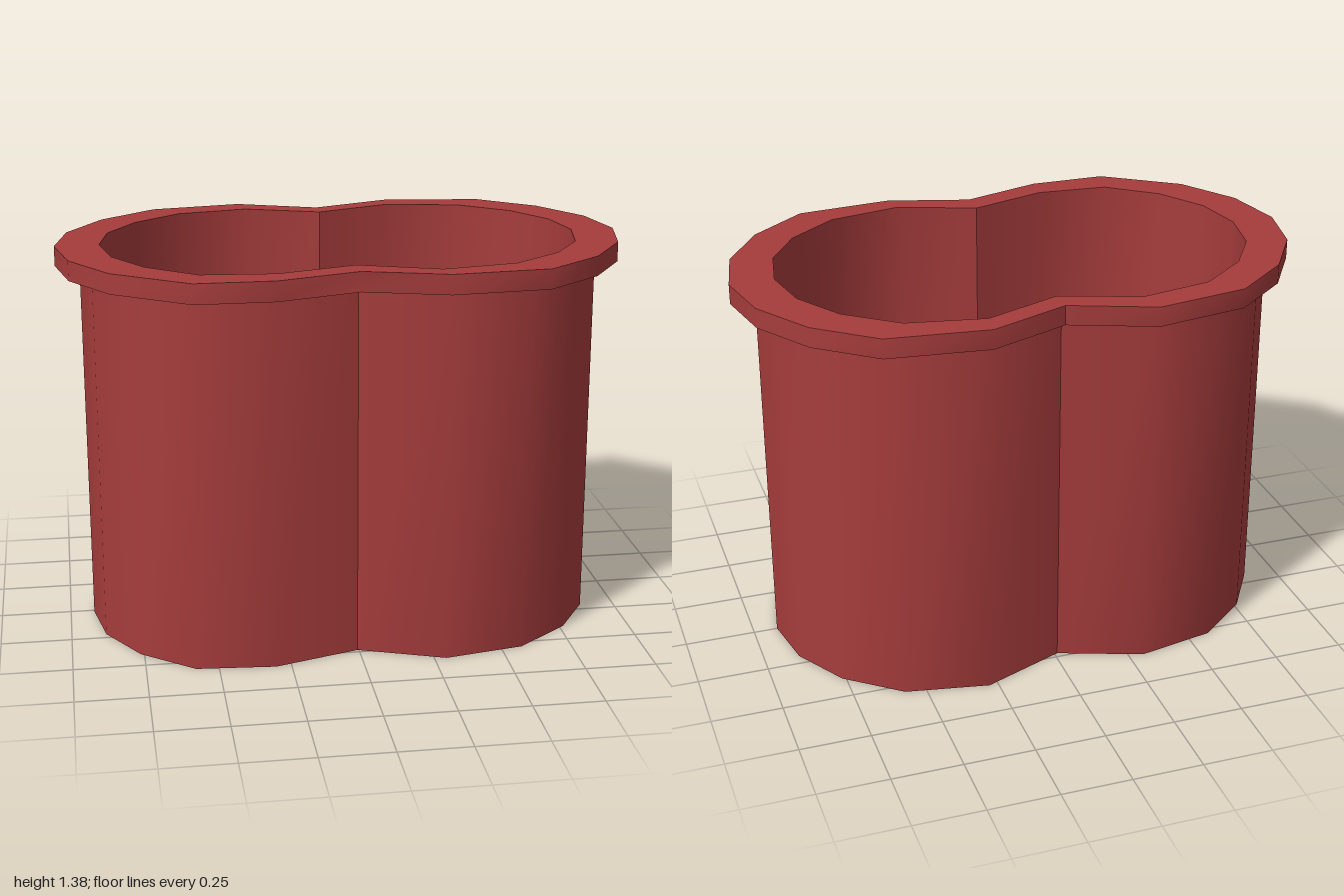
import * as THREE from 'three';
import { toCreasedNormals } from 'three/addons/utils/BufferGeometryUtils.js';

// Two-lobed outlines as x, z pairs, running from the right end round the back
const RIM = [
  -1, 0.01, -0.955, -0.21, -0.825, -0.415, -0.625, -0.575, -0.3, -0.63,
  -0.01, -0.52, 0.27, -0.63, 0.625, -0.59, 0.825, -0.43, 0.955, -0.225,
  1, 0, 0.955, 0.225, 0.825, 0.43, 0.625, 0.59, 0.285, 0.62,
  -0.005, 0.535, -0.29, 0.625, -0.565, 0.625, -0.825, 0.445, -0.955, 0.24,
];
const INNER = [
  -0.845, 0.01, -0.81, -0.18, -0.705, -0.345, -0.535, -0.48, -0.28, -0.53,
  -0.01, -0.435, 0.26, -0.54, 0.53, -0.49, 0.705, -0.355, 0.81, -0.185,
  0.845, 0, 0.81, 0.19, 0.705, 0.355, 0.53, 0.49, 0.27, 0.54,
  -0.005, 0.44, -0.28, 0.525, -0.535, 0.505, -0.705, 0.37, -0.81, 0.2,
];
const HEIGHT = 1.38, RIM_Y = 1.31, FLOOR_Y = 0.07;

const toPoints = (flat, sx = 1, sz = 1) =>
  Array.from({ length: flat.length / 2 }, (_, i) => new THREE.Vector2(flat[2 * i] * sx, flat[2 * i + 1] * sz));

// Strip of faces joining one outline at y0 to another at y1
function band(a, y0, b, y1) {
  const pos = [];
  a.forEach((p, i) => {
    const j = (i + 1) % a.length;
    const a0 = [p.x, y0, p.y], a1 = [a[j].x, y0, a[j].y];
    const b0 = [b[i].x, y1, b[i].y], b1 = [b[j].x, y1, b[j].y];
    pos.push(...a0, ...b0, ...a1, ...a1, ...b0, ...b1);
  });
  const g = new THREE.BufferGeometry();
  g.setAttribute('position', new THREE.Float32BufferAttribute(pos, 3));
  return toCreasedNormals(g, 0.62);
}

// Flat face filling an outline, turned up or down
function cap(points, y, up) {
  const s = up ? -1 : 1;
  const shape = new THREE.Shape(points.map(p => new THREE.Vector2(p.x, p.y * s)));
  return new THREE.ShapeGeometry(shape).rotateX(s * Math.PI / 2).translate(0, y, 0);
}

export function createModel() {
  const group = new THREE.Group();
  group.name = 'twoLobedContainer';
  const material = new THREE.MeshStandardMaterial({ color: 0xa63c3c });
  const add = (name, geometry, parent = group) => {
    const mesh = new THREE.Mesh(geometry, material);
    mesh.name = name;
    parent.add(mesh);
  };

  const rim = toPoints(RIM);
  const inner = toPoints(INNER);
  const outer = toPoints(INNER, 1.083, 1.1);

  // Hollow body
  add('outerWall', band(outer, 0, outer, RIM_Y));
  add('innerWall', band(inner, HEIGHT, inner, FLOOR_Y));
  add('floor', cap(inner, FLOOR_Y, true));
  add('base', cap(outer, 0, false));

  // Overhanging rim
  const rimGroup = new THREE.Group();
  rimGroup.name = 'rim';
  group.add(rimGroup);
  add('rimUnderside', band(outer, RIM_Y, rim, RIM_Y), rimGroup);
  add('rimEdge', band(rim, RIM_Y, rim, HEIGHT), rimGroup);
  add('rimTop', band(rim, HEIGHT, inner, HEIGHT), rimGroup);

  return group;
}
